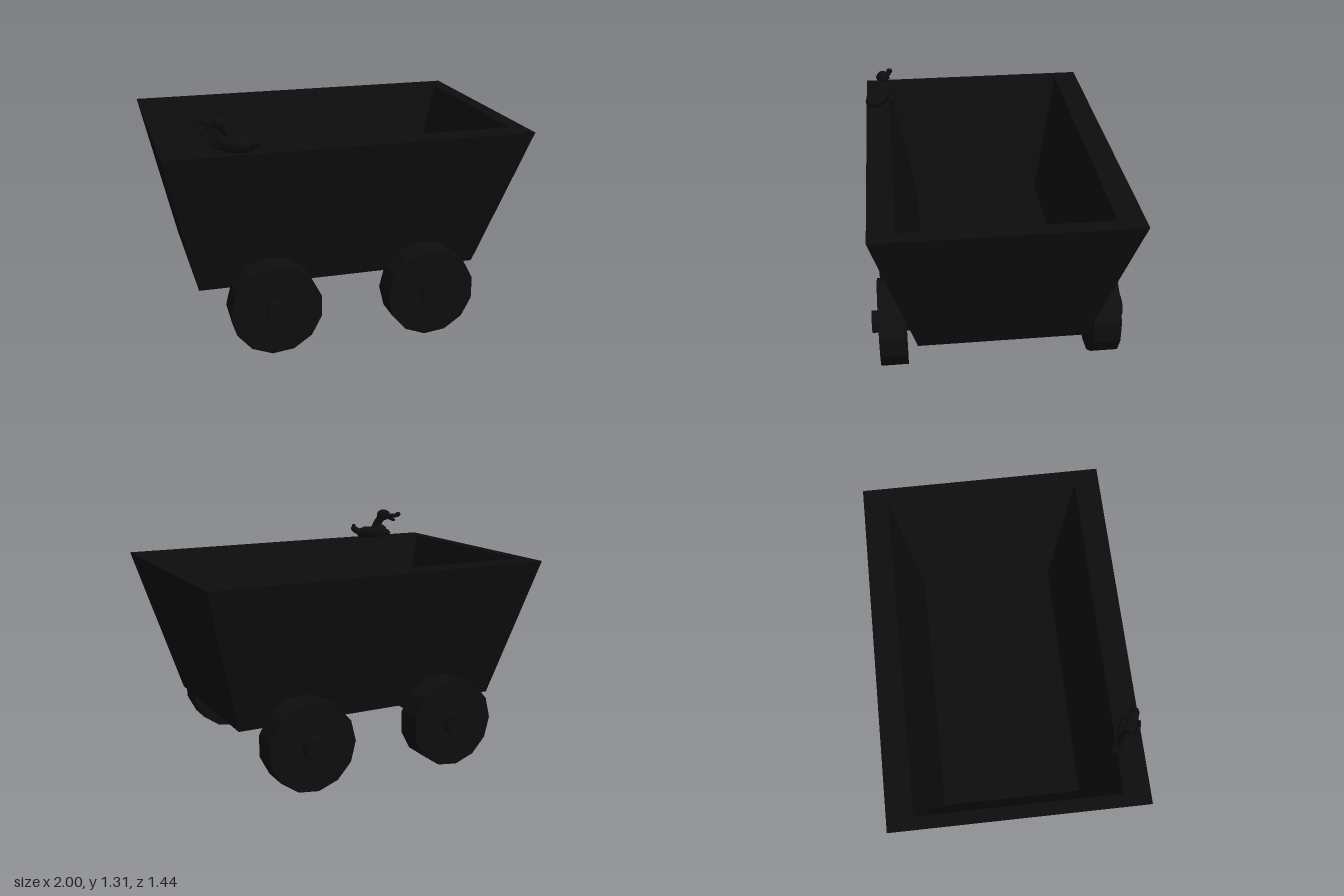
import * as THREE from 'three';

const black = new THREE.MeshStandardMaterial({ color: 0x0d0d0d, flatShading: true });
black.name = 'soot black';

function add(parent, name, geometry, position = [0, 0, 0]) {
  const mesh = new THREE.Mesh(geometry, black);
  mesh.name = name;
  mesh.position.set(...position);
  parent.add(mesh);
  return mesh;
}

// Rectangular rings joined into a hollow, tapered tub: [x0, x1, z0, z1, y]
function tubGeometry(rings) {
  const points = [], index = [];
  for (const [x0, x1, z0, z1, y] of rings) {
    points.push(x0, y, z1, x1, y, z1, x1, y, z0, x0, y, z0);
  }
  for (let r = 0; r < rings.length - 1; r++) {
    for (let i = 0; i < 4; i++) {
      const a = r * 4 + i, b = r * 4 + (i + 1) % 4;
      index.push(a, b, b + 4, a, b + 4, a + 4);
    }
  }
  const f = (rings.length - 1) * 4;
  index.push(0, 2, 1, 0, 3, 2, f, f + 1, f + 2, f, f + 2, f + 3);
  const indexed = new THREE.BufferGeometry();
  indexed.setAttribute('position', new THREE.Float32BufferAttribute(points, 3));
  indexed.setIndex(index);
  const geometry = indexed.toNonIndexed();
  geometry.computeVertexNormals();
  return geometry;
}

// Cylinder lying along z, with one corner pointing to -x
function disc(radius, width, sides) {
  return new THREE.CylinderGeometry(radius, radius, width, sides, 1, false, -Math.PI / 2)
    .rotateX(Math.PI / 2);
}

function ball(rx, ry, rz) {
  return new THREE.SphereGeometry(1, 9, 6).scale(rx, ry, rz);
}

function tube(points, radius) {
  const curve = new THREE.CatmullRomCurve3(points.map(p => new THREE.Vector3(...p)));
  return new THREE.TubeGeometry(curve, 6, radius, 7);
}

// Little long-necked bird, beak towards its own -x
function createBird() {
  const bird = new THREE.Group();
  bird.name = 'bird';
  add(bird, 'body', ball(0.12, 0.04, 0.05), [0.005, 0.035, 0]);
  add(bird, 'breast', ball(0.06, 0.045, 0.045), [-0.03, 0.05, 0]);
  add(bird, 'neck', tube([[-0.01, 0.05, 0], [-0.02, 0.09, 0], [-0.045, 0.13, 0], [-0.06, 0.155, 0]], 0.027));
  add(bird, 'head', ball(0.045, 0.036, 0.04), [-0.065, 0.154, 0]);
  add(bird, 'upperBeak', ball(0.045, 0.014, 0.022), [-0.125, 0.148, 0]);
  add(bird, 'beakTip', ball(0.017, 0.016, 0.02), [-0.162, 0.157, 0]);
  add(bird, 'lowerBeak', ball(0.03, 0.012, 0.018), [-0.117, 0.128, 0]).rotation.z = 0.35;
  add(bird, 'tail', ball(0.045, 0.022, 0.03), [0.112, 0.05, 0]).rotation.z = 0.5;
  add(bird, 'tailTip', ball(0.014, 0.016, 0.016), [0.132, 0.078, 0]);
  for (const side of [-1, 1]) {
    add(bird, 'wing', ball(0.07, 0.025, 0.014), [0.03, 0.047, side * 0.042]);
    add(bird, 'foot', ball(0.04, 0.012, 0.022), [-0.07, 0.01, side * 0.035]);
  }
  bird.position.set(-0.63, 1.125, 0.615);
  bird.rotation.y = -0.45;
  return bird;
}

export function createModel() {
  const cart = new THREE.Group();
  cart.name = 'mineCart';

  // Outer wall, flat rim, inner wall and floor
  add(cart, 'tub', tubGeometry([
    [-0.815, 0.77, -0.45, 0.47, 0.32],
    [-1, 1, -0.675, 0.695, 1.13],
    [-0.93, 0.915, -0.535, 0.555, 1.13],
    [-0.74, 0.7, -0.39, 0.405, 0.42],
  ]));

  // Two axles, each with a pair of wheels
  for (const x of [-0.43, 0.44]) {
    add(cart, 'axle', disc(0.064, 1.44, 13), [x, 0.253, 0]);
    for (const z of [-0.593, 0.602]) add(cart, 'wheel', disc(0.25, 0.155, 13), [x, 0.249, z]);
  }

  cart.add(createBird());
  return cart;
}
